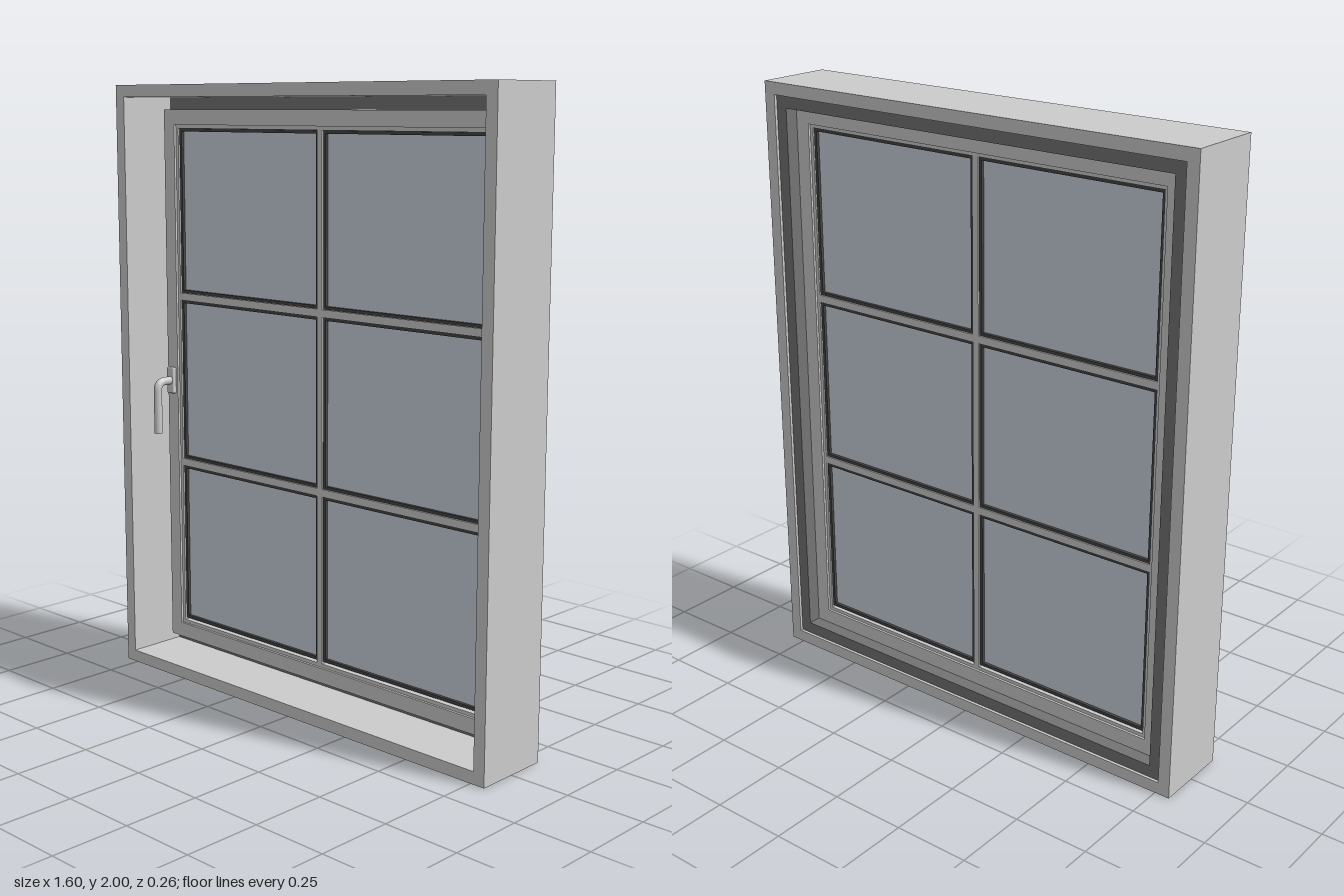
import * as THREE from 'three';
import { RoundedBoxGeometry } from 'three/addons/geometries/RoundedBoxGeometry.js';

const grey = new THREE.MeshStandardMaterial({ color: 0xcccccc });
const stopGrey = new THREE.MeshStandardMaterial({ color: 0x737373 });
const rubber = new THREE.MeshStandardMaterial({ color: 0x444444 });
const glassBlue = new THREE.MeshStandardMaterial({ color: 0xc9d3dc });

function add(parent, name, geometry, material, x = 0, y = 0, z = 0) {
  const mesh = new THREE.Mesh(geometry, material);
  mesh.name = name;
  mesh.position.set(x, y, z);
  parent.add(mesh);
  return mesh;
}

// Rectangular ring: outer half sizes, bar width, back and front depth
function ring(parent, name, material, hw, hh, bar, z0, z1, x = 0, y = 1) {
  const rect = (T, w, h) => {
    const p = new T();
    p.moveTo(-w, -h);
    p.lineTo(w, -h);
    p.lineTo(w, h);
    p.lineTo(-w, h);
    p.closePath();
    return p;
  };
  const shape = rect(THREE.Shape, hw, hh);
  shape.holes.push(rect(THREE.Path, hw - bar, hh - bar));
  const geo = new THREE.ExtrudeGeometry(shape, { depth: z1 - z0, bevelEnabled: false });
  return add(parent, name, geo, material, x, y, z0);
}

function box(parent, name, material, w, h, z0, z1, x, y) {
  return add(parent, name, new THREE.BoxGeometry(w, h, z1 - z0), material, x, y, (z0 + z1) / 2);
}

export function createModel() {
  const model = new THREE.Group();
  model.name = 'window';

  // Fixed outer frame and the dark stop behind the sash
  ring(model, 'outerFrame', grey, 0.8, 1, 0.04, -0.13, 0.13);
  ring(model, 'frameStop', stopGrey, 0.76, 0.96, 0.04, -0.12, -0.075);

  // Opening sash with a stepped glazing bead
  const sash = new THREE.Group();
  sash.name = 'sash';
  model.add(sash);
  ring(sash, 'sashFrame', grey, 0.72, 0.92, 0.05, -0.075, -0.01);
  ring(sash, 'glazingBead', grey, 0.67, 0.87, 0.012, -0.067, -0.018);

  // Glazing bars
  const rows = [0.425, 1.003, 1.581];
  box(sash, 'verticalBar', grey, 0.022, 1.716, -0.067, -0.018, 0, 1);
  for (const y of [0.714, 1.292]) {
    for (const side of [-1, 1]) {
      box(sash, 'horizontalBar', grey, 0.647, 0.025, -0.067, -0.018, side * 0.3345, y);
    }
  }

  // Six panes, each with its dark gasket
  for (const y of rows) {
    for (const side of [-1, 1]) {
      const x = side * 0.3345;
      ring(sash, 'paneGasket', rubber, 0.3235, 0.2765, 0.01, -0.062, -0.024, x, y);
      box(sash, 'glassPane', glassBlue, 0.63, 0.536, -0.052, -0.034, x, y);
    }
  }

  // Two hinges on the left side of the sash
  for (const y of [0.245, 1.75]) {
    add(model, 'hinge', new RoundedBoxGeometry(0.036, 0.21, 0.03, 2, 0.005), grey, 0.718, y, 0.002);
  }

  // Handle: backplate, neck bending down into the lever
  const handle = new THREE.Group();
  handle.name = 'handle';
  handle.position.set(-0.695, 0, 0);
  model.add(handle);
  add(handle, 'handlePlate', new RoundedBoxGeometry(0.034, 0.09, 0.016, 2, 0.004), grey, 0, 1, -0.003);
  const path = new THREE.CurvePath();
  const v = (y, z) => new THREE.Vector3(0, y, z);
  path.add(new THREE.LineCurve3(v(1, -0.002), v(1, 0.03)));
  path.add(new THREE.QuadraticBezierCurve3(v(1, 0.03), v(1, 0.06), v(0.97, 0.06)));
  path.add(new THREE.LineCurve3(v(0.97, 0.06), v(0.822, 0.06)));
  add(handle, 'handleLever', new THREE.TubeGeometry(path, 40, 0.014, 16), grey);
  const cap = add(handle, 'leverEnd', new THREE.CircleGeometry(0.014, 16), grey, 0, 0.822, 0.06);
  cap.rotation.x = Math.PI / 2;

  return model;
}
